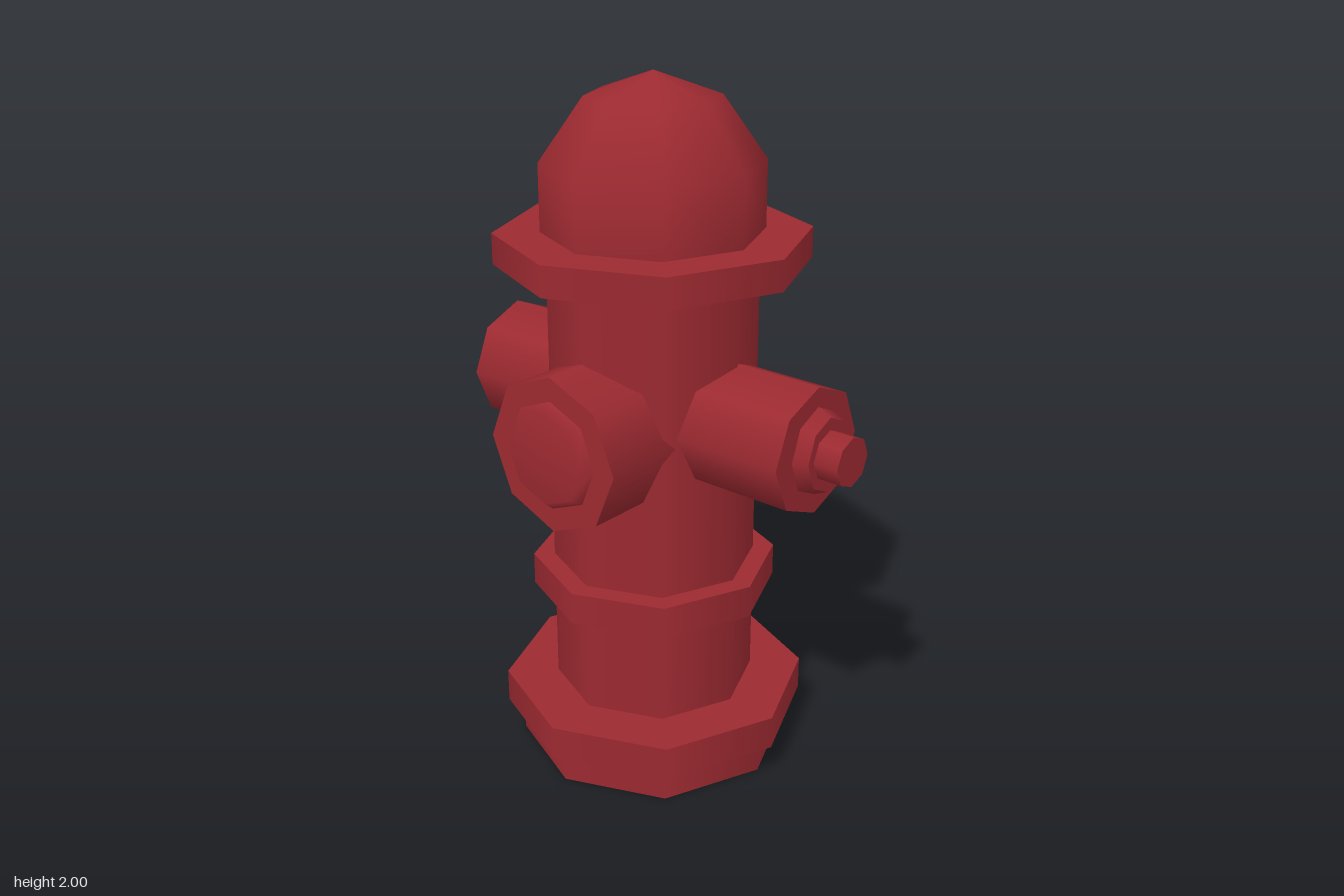
import * as THREE from 'three';
import { mergeGeometries } from 'three/addons/utils/BufferGeometryUtils.js';

const SIDES = 8;
const CX = -0.036; // axis of the barrel
const material = new THREE.MeshStandardMaterial({ color: 0x9c2a31 });

const lathe = (points) =>
  new THREE.LatheGeometry(points.map(([r, y]) => new THREE.Vector2(r, y)), SIDES);

// Turned shape, smooth around the axis with a sharp crease at every profile point
const turned = (profile) =>
  mergeGeometries(profile.slice(1).map((p, i) => lathe([profile[i], p])));

function addMesh(parent, name, geometry) {
  const mesh = new THREE.Mesh(geometry, material);
  mesh.name = name;
  parent.add(mesh);
  return mesh;
}

export function createModel() {
  const model = new THREE.Group();
  model.name = 'fireHydrant';

  // Barrel, foot and rings: name, radius, bottom, top
  const drums = [
    ['foot', 0.4, 0, 0.1],
    ['baseFlange', 0.447, 0.1, 0.2],
    ['barrel', 0.294, 0.2, 1.485],
    ['middleRing', 0.355, 0.503, 0.598],
    ['topFlange', 0.438, 1.485, 1.572],
  ];
  for (const [name, r, y0, y1] of drums) {
    const drum = addMesh(model, name, new THREE.CylinderGeometry(r, r, y1 - y0, SIDES));
    drum.position.set(CX, (y0 + y1) / 2, 0);
  }

  // Bonnet
  const bonnet = addMesh(model, 'bonnet',
    lathe([[0.308, 1.572], [0.308, 1.76], [0.185, 1.935], [0, 2]]));
  bonnet.position.x = CX;

  // Left outlet with collar and stud
  const leftOutlet = new THREE.Group();
  leftOutlet.name = 'leftOutlet';
  leftOutlet.position.set(0, 1.07, -0.012);
  leftOutlet.rotation.z = -Math.PI / 2;
  addMesh(leftOutlet, 'leftNozzle', turned([[0.18, 0], [0.18, 0.517], [0, 0.517]]));
  const collar = addMesh(leftOutlet, 'collar',
    turned([[0.125, 0.517], [0.106, 0.557], [0, 0.557]]));
  collar.scale.z = 0.88;
  addMesh(leftOutlet, 'stud', turned([[0.07, 0.55], [0.07, 0.63], [0, 0.63]]));
  model.add(leftOutlet);

  // Right outlet with a recessed mouth and rounded plug
  const rightOutlet = new THREE.Group();
  rightOutlet.name = 'rightOutlet';
  rightOutlet.position.set(0, 1.07, -0.012);
  rightOutlet.rotation.z = Math.PI / 2;
  addMesh(rightOutlet, 'rightNozzle',
    turned([[0.18, 0], [0.18, 0.59], [0.125, 0.59], [0.12, 0.54], [0, 0.54]]));
  addMesh(rightOutlet, 'plug',
    lathe([[0.1, 0.54], [0.085, 0.59], [0.046, 0.633], [0, 0.635]]));
  model.add(rightOutlet);

  // Front outlet with a bevelled cap
  const frontOutlet = new THREE.Group();
  frontOutlet.name = 'frontOutlet';
  frontOutlet.position.set(CX, 1.042, 0);
  frontOutlet.rotation.x = Math.PI / 2;
  addMesh(frontOutlet, 'frontNozzle', turned([[0.223, 0.1], [0.223, 0.418], [0, 0.418]]));
  addMesh(frontOutlet, 'frontCap', lathe([[0.155, 0.418], [0.13, 0.448], [0, 0.448]]));
  model.add(frontOutlet);

  return model;
}
